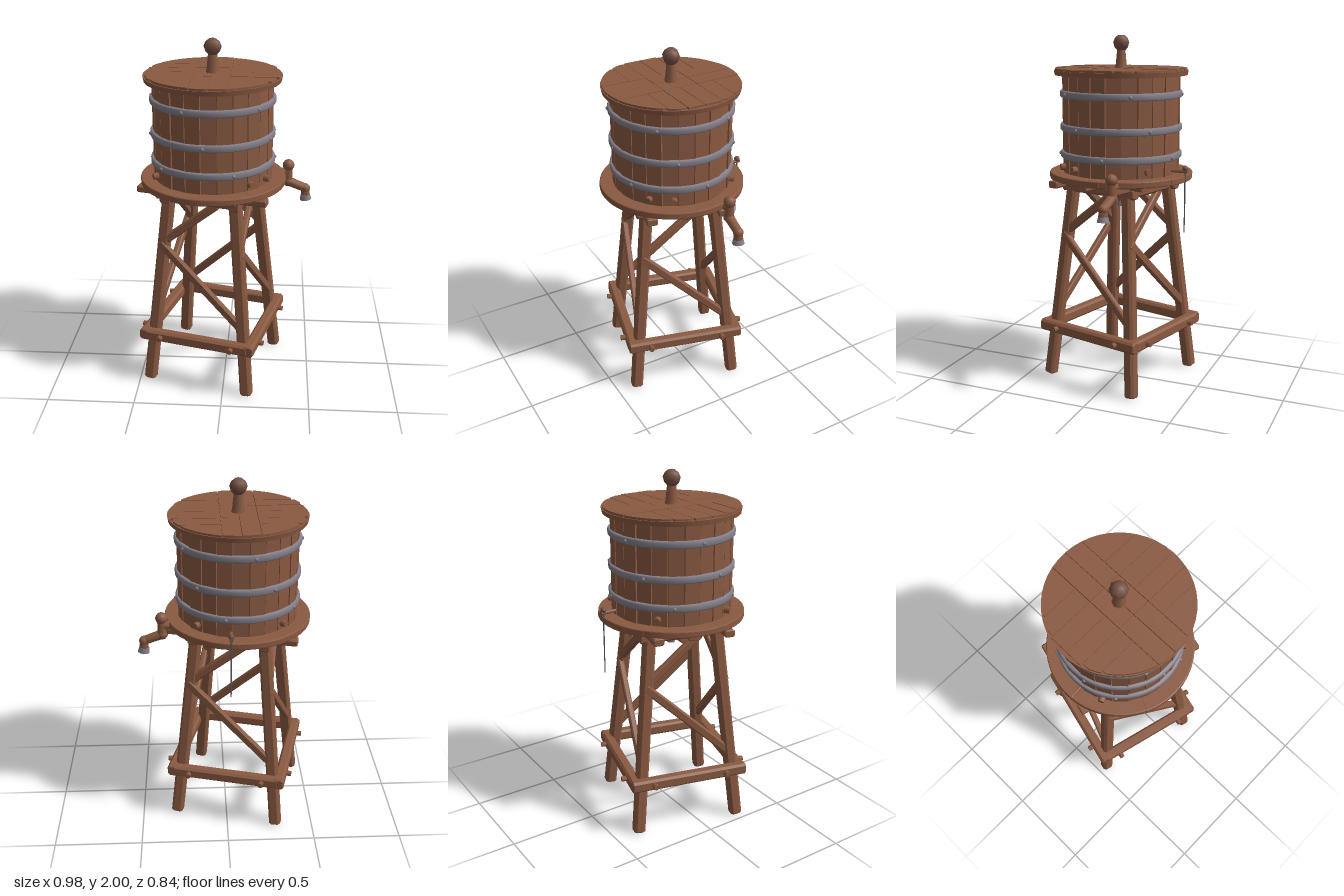
import * as THREE from 'three';

const mat = (name, color) => {
  const m = new THREE.MeshStandardMaterial({ color });
  m.name = name;
  return m;
};

export function createModel() {
  const wood = mat('wood', 0x8a5a42);
  const darkWood = mat('darkWood', 0x755143);
  const metal = mat('metal', 0x85808a);
  const rope = mat('rope', 0x5c5a62);

  const model = new THREE.Group();
  const tower = new THREE.Group(); // everything shares one off-centre axis
  tower.name = 'tower';
  tower.position.set(-0.072, 0, 0.012);
  model.add(tower);

  let seed = 7;
  const rand = () => (seed = (seed * 16807) % 2147483647) / 2147483647;
  const V = (x, y, z) => new THREE.Vector3(x, y, z);

  const add = (parent, name, geo, material, x = 0, y = 0, z = 0) => {
    const mesh = new THREE.Mesh(geo, material);
    mesh.name = name;
    mesh.position.set(x, y, z);
    parent.add(mesh);
    return mesh;
  };

  // Chamfered timber of width w and height h running from a to b
  const beam = (parent, name, a, b, w, h, up = V(0, 1, 0)) => {
    const x = w / 2, y = h / 2, c = Math.min(w, h) * 0.2;
    const shape = new THREE.Shape([
      [x - c, -y], [x, c - y], [x, y - c], [x - c, y],
      [c - x, y], [-x, y - c], [-x, c - y], [c - x, -y],
    ].map(p => new THREE.Vector2(...p)));
    const bevel = c * 0.5;
    const geo = new THREE.ExtrudeGeometry(shape, {
      depth: a.distanceTo(b) - 2 * bevel, bevelThickness: bevel, bevelSize: bevel,
      bevelOffset: -bevel, bevelSegments: 1,
    });
    geo.translate(0, 0, bevel);
    const mesh = new THREE.Mesh(geo, wood);
    mesh.name = name;
    mesh.up.copy(up);
    mesh.position.copy(a);
    mesh.lookAt(b);
    parent.add(mesh);
  };

  // Timber frame, turned a little about the axis
  const frame = new THREE.Group();
  frame.name = 'frame';
  frame.rotation.y = -0.257;
  tower.add(frame);
  const legAt = y => 0.3 - 0.092 * y; // leg offset from the axis at height y

  for (let i = 0; i < 4; i++) {
    const side = new THREE.Group();
    side.name = 'frameSide' + (i + 1);
    const even = i % 2 === 0;
    beam(side, 'leg', V(-legAt(0), 0.005, legAt(0)), V(-legAt(1.15), 1.15, legAt(1.15)), 0.066, 0.066, V(1, 0, 0));
    const half = even ? 0.31 : 0.342;
    beam(side, 'lowerRail', V(-half, 0.312, 0.315), V(half, 0.312, 0.315), 0.06, 0.066);
    const top = even ? 0.225 : 0.255;
    beam(side, 'upperRail', V(-top, 1.15, 0.2), V(top, 1.15, 0.2), 0.06, 0.062);
    beam(side, 'longBrace', V(-0.235, 0.87, 0.24), V(0.27, 0.4, 0.27), 0.034, 0.046);
    beam(side, 'shortBrace', V(-0.235, 0.87, 0.232), V(0.09, 1.13, 0.205), 0.034, 0.046);
    for (const s of [-1, 1]) {
      const bolt = add(side, 'railPeg', new THREE.CylinderGeometry(0.016, 0.018, 0.05, 6), wood, s * 0.215, 0.312, 0.347);
      bolt.rotation.x = Math.PI / 2;
    }
    side.rotation.y = i * Math.PI / 2;
    frame.add(side);
  }

  // Joists carrying the platform
  for (const z of [-0.2, 0, 0.2]) {
    const l = z ? 0.375 : 0.36;
    beam(frame, 'joist', V(-l, 1.178, z), V(l, 1.178, z), 0.06, 0.04);
  }
  for (const x of [-0.2, 0.2]) beam(frame, 'crossJoist', V(x, 1.186, -0.31), V(x, 1.186, 0.31), 0.055, 0.03);

  // Round platform: core disc with separate rim boards
  add(tower, 'platform', new THREE.CylinderGeometry(0.392, 0.392, 0.032, 48), wood, 0, 1.212, 0);
  for (let i = 0; i < 6; i++) {
    const a0 = i * Math.PI / 3 + 0.09, a1 = a0 + Math.PI / 3 - 0.02;
    const shape = new THREE.Shape();
    shape.absarc(0, 0, 0.402 + 0.004 * rand(), a0, a1, false);
    shape.absarc(0, 0, 0.33, a1, a0, true);
    const geo = new THREE.ExtrudeGeometry(shape, {
      depth: 0.026, bevelThickness: 0.006, bevelSize: 0.006, bevelSegments: 2, curveSegments: 12,
    });
    geo.rotateX(-Math.PI / 2);
    add(tower, 'platformRim', geo, wood, 0, 1.202, 0);
  }

  // Tank: inner drum wrapped in slightly uneven staves
  add(tower, 'drum', new THREE.CylinderGeometry(0.318, 0.318, 0.57, 40), wood, 0, 1.505, 0);
  const count = 24;
  for (let i = 0; i < count; i++) {
    const a = i / count * Math.PI * 2, r = 0.311 + 0.007 * rand();
    const stave = add(tower, 'stave', new THREE.BoxGeometry(0.082, 0.575, 0.032), wood,
      Math.sin(a) * r, 1.505, Math.cos(a) * r);
    stave.rotation.set(0, a + (rand() - 0.5) * 0.06, 0);
  }

  // Metal hoops
  const hoopProfile = [[0.325, -0.02], [0.341, -0.02], [0.348, -0.012], [0.348, 0.012], [0.341, 0.02], [0.325, 0.02]]
    .map(p => new THREE.Vector2(...p));
  for (const y of [1.335, 1.49, 1.677]) {
    add(tower, 'hoop', new THREE.LatheGeometry(hoopProfile, 48), metal, 0, y, 0);
    for (let i = 0; i < 5; i++) {
      const a = i * 1.257 + y * 5;
      add(tower, 'rivet', new THREE.SphereGeometry(0.011, 8, 6), metal, Math.sin(a) * 0.346, y, Math.cos(a) * 0.346);
    }
  }

  // Small pegs around the foot of the tank
  for (const a of [0.7, 1.1, 2.4, 3.9, 5.2]) {
    const peg = add(tower, 'tankPeg', new THREE.CylinderGeometry(0.018, 0.022, 0.05, 7), wood,
      Math.sin(a) * 0.335, 1.27, Math.cos(a) * 0.335);
    peg.rotation.set(Math.PI / 2, 0, -a);
  }

  // Lid: backing disc and boards cut to a circle
  const R = 0.374;
  add(tower, 'lidBase', new THREE.CylinderGeometry(0.381, 0.376, 0.026, 48), wood, 0, 1.794, 0);
  const board = (x0, x1, z0, z1) => {
    const upper = [], lower = [], g = 0.0015;
    for (let i = 0; i <= 20; i++) {
      const x = THREE.MathUtils.lerp(Math.max(x0 + g, -R), Math.min(x1 - g, R), i / 20);
      const c = Math.sqrt(Math.max(0, R * R - x * x));
      const hi = Math.min(z1 - g, c), lo = Math.max(z0 + g, -c);
      if (hi - lo < 0.002) continue;
      upper.push(new THREE.Vector2(x, -lo));
      lower.unshift(new THREE.Vector2(x, -hi));
    }
    const geo = new THREE.ExtrudeGeometry(new THREE.Shape([...upper, ...lower]), {
      depth: 0.016 + 0.005 * rand(), bevelEnabled: false,
    });
    geo.rotateX(-Math.PI / 2);
    add(tower, 'lidBoard', geo, wood, 0, 1.8, 0);
  };
  const rows = [-0.4, -0.2, -0.1, 0.005, 0.1, 0.195, 0.4];
  for (let i = 0; i < 6; i++) {
    board(-0.4, -0.1, rows[i], rows[i + 1]);
    board(0.1, 0.4, rows[i], rows[i + 1]);
  }
  for (const [z0, z1] of [[-0.4, -0.1], [-0.1, 0.1], [0.1, 0.4]]) {
    board(-0.1, 0, z0, z1);
    board(0, 0.1, z0, z1);
  }

  // Finial on the lid
  const finial = [[0.04, 1.81], [0.033, 1.84], [0.025, 1.92]].map(p => new THREE.Vector2(...p));
  add(tower, 'finialPost', new THREE.LatheGeometry(finial, 8), wood);
  const knob = [[0.02, 1.91], [0.04, 1.932], [0.049, 1.96], [0.038, 1.985], [0.018, 2], [0, 2]]
    .map(p => new THREE.Vector2(...p));
  add(tower, 'finialKnob', new THREE.LatheGeometry(knob, 8), darkWood);

  // Spout: stub, upright valve, sloping arm and metal-tipped nozzle
  const spout = new THREE.Group();
  spout.name = 'spout';
  spout.position.set(0, 0, -0.108);
  model.add(spout);
  const pipe = (name, a, b, r0, r1, material = wood) => {
    const mesh = add(spout, name, new THREE.CylinderGeometry(r1, r0, a.distanceTo(b), 10), material);
    mesh.position.copy(a).lerp(b, 0.5);
    mesh.quaternion.setFromUnitVectors(V(0, 1, 0), b.clone().sub(a).normalize());
  };
  pipe('spoutStub', V(0.2, 1.21, 0), V(0.355, 1.21, 0), 0.025, 0.025);
  pipe('valve', V(0.352, 1.15, 0), V(0.355, 1.25, 0), 0.028, 0.024);
  add(spout, 'valveKnob', new THREE.SphereGeometry(0.034, 10, 8), wood, 0.355, 1.252, 0);
  add(spout, 'lowerElbow', new THREE.SphereGeometry(0.031, 10, 8), wood, 0.352, 1.155, 0);
  pipe('spoutArm', V(0.352, 1.155, 0), V(0.455, 1.115, 0.004), 0.027, 0.025);
  add(spout, 'outerElbow', new THREE.SphereGeometry(0.029, 10, 8), wood, 0.455, 1.113, 0.004);
  pipe('nozzle', V(0.455, 1.113, 0.004), V(0.458, 1.07, 0.004), 0.025, 0.027);
  pipe('nozzleTip', V(0.456, 1.075, 0.004), V(0.46, 1.045, 0.004), 0.028, 0.034, metal);

  // Outlet pipe beneath the tank
  add(tower, 'outletPipe', new THREE.CylinderGeometry(0.018, 0.018, 0.16, 10), wood, 0, 1.12, 0);
  add(tower, 'outletTip', new THREE.CylinderGeometry(0.022, 0.022, 0.025, 10), metal, 0, 1.035, 0);

  // Pull cord hanging behind the platform
  add(model, 'cord', new THREE.CylinderGeometry(0.005, 0.003, 0.37, 6), rope, -0.018, 1.095, -0.395);
  add(model, 'cordKnot', new THREE.SphereGeometry(0.017, 8, 6), darkWood, -0.018, 1.275, -0.395);
  const hook = add(model, 'cordPeg', new THREE.CylinderGeometry(0.009, 0.012, 0.1, 6), wood, -0.018, 1.26, -0.36);
  hook.rotation.x = Math.PI / 2;

  return model;
}
